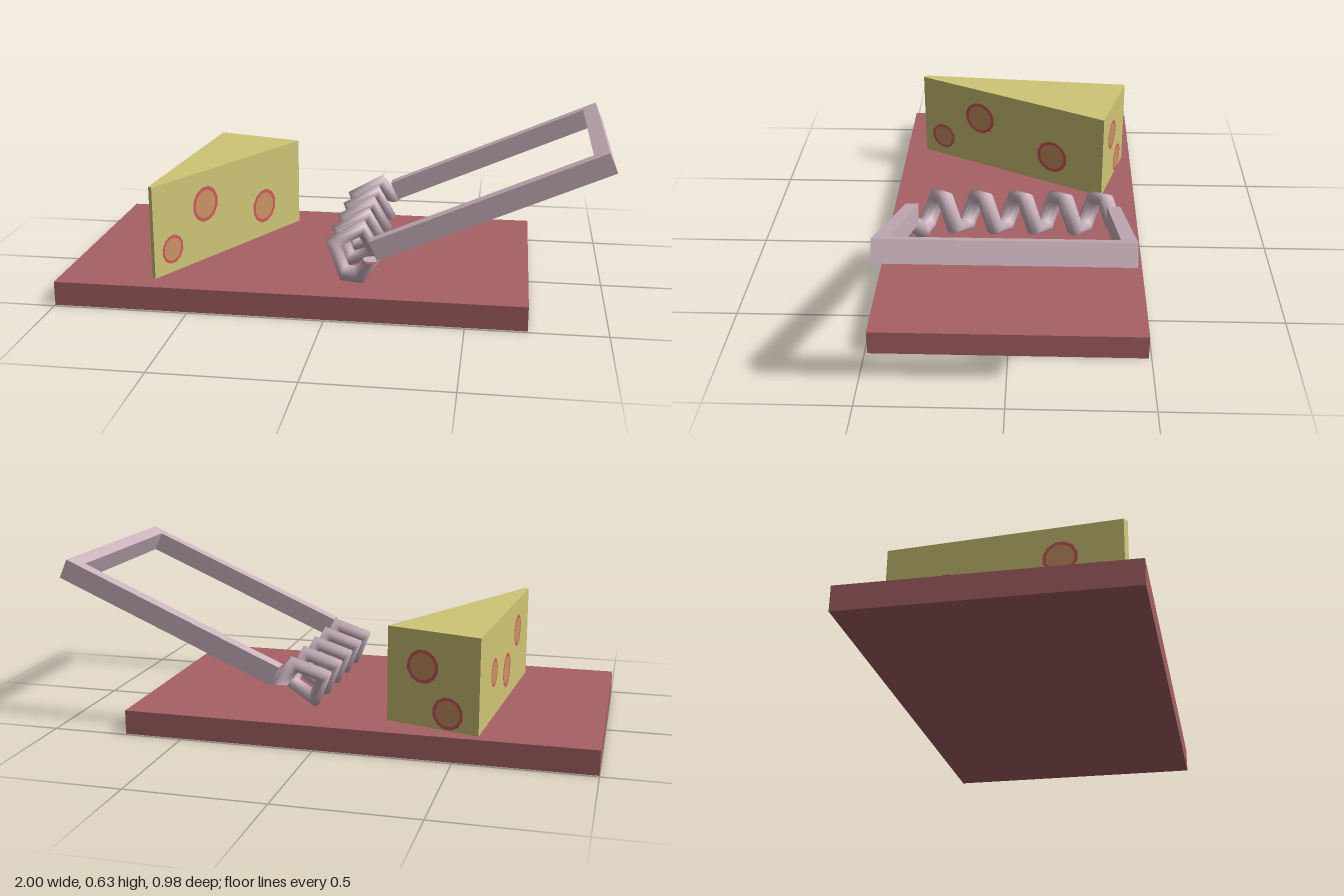
import * as THREE from 'three';

const material = (name, color) => {
  const m = new THREE.MeshStandardMaterial({ color });
  m.name = name;
  return m;
};

// Coil that turns clockwise from front to back, in straight quarter-turn steps
class SpringCurve extends THREE.Curve {
  constructor(angles, radius, halfLength) {
    super();
    Object.assign(this, { angles, radius, halfLength });
  }
  getPoint(t, target = new THREE.Vector3()) {
    const last = this.angles.length - 1;
    const i = Math.min(Math.floor(t * last + 1e-9), last - 1);
    const degrees = THREE.MathUtils.lerp(this.angles[i], this.angles[i + 1], t * last - i);
    const a = THREE.MathUtils.degToRad(degrees);
    const turned = degrees / this.angles[last];
    return target.set(Math.cos(a) * this.radius, Math.sin(a) * this.radius, this.halfLength * (1 - 2 * turned));
  }
  getPointAt(t, target) { return this.getPoint(t, target); }
  getTangentAt(t, target) { return this.getTangent(t, target); }
}

export function createModel() {
  const model = new THREE.Group();
  const wood = material('red wood', 0xa76165);
  const metal = material('pale metal', 0xcbb3be);
  const cheese = material('yellow cheese', 0xcfc577);
  const rim = material('hole rim red', 0xd05a5e);
  const hollow = material('hole orange', 0xcb9364);

  const add = (parent, name, geometry, mat, x = 0, y = 0, z = 0) => {
    const mesh = new THREE.Mesh(geometry, mat);
    mesh.name = name;
    mesh.position.set(x, y, z);
    parent.add(mesh);
    return mesh;
  };

  // Base board
  add(model, 'baseBoard', new THREE.BoxGeometry(1.72, 0.09, 0.98), wood, -0.14, 0.045, 0);

  // Cheese wedge, corners as (x, z)
  const corners = [[-0.64, 0.407], [-0.24, -0.355], [-0.585, -0.455], [-0.655, 0.395]]
    .map(([x, z]) => new THREE.Vector2(x, z));
  const outline = new THREE.Shape(corners.map(c => new THREE.Vector2(c.x, -c.y)));
  const wedge = new THREE.ExtrudeGeometry(outline, { depth: 0.35, bevelEnabled: false });
  wedge.rotateX(-Math.PI / 2);
  add(model, 'cheeseWedge', wedge, cheese, 0, 0.09, 0);

  // Painted cheese holes: side index, fraction along the side, height, radius
  const holes = [
    [0, 0.325, 0.31, 0.07], [0, 0.11, 0.18, 0.056], [0, 0.73, 0.215, 0.07],
    [1, 0.39, 0.31, 0.062], [1, 0.67, 0.153, 0.06],
    [2, 0.26, 0.26, 0.053], [2, 0.52, 0.21, 0.067], [2, 0.74, 0.32, 0.063],
  ];
  for (const [side, u, y, r] of holes) {
    const from = corners[side], to = corners[side + 1];
    const p = from.clone().lerp(to, u);
    const d = to.clone().sub(from).normalize();
    const hole = new THREE.Group();
    hole.name = 'cheeseHole';
    hole.position.set(p.x - d.y * 0.003, y, p.y + d.x * 0.003);
    hole.rotation.y = Math.atan2(-d.y, d.x);
    const start = Math.PI / 12;
    add(hole, 'holeRim', new THREE.RingGeometry(r * 0.8, r, 12, 1, start), rim);
    add(hole, 'holeCentre', new THREE.CircleGeometry(r * 0.8, 12, start), hollow);
    model.add(hole);
  }

  // Spring: five turns, four steps per turn
  const angles = [0, -66, -110];
  for (let a = -200; a >= -1730; a -= 90) angles.push(a);
  angles.push(-1800);
  const spring = new THREE.Group();
  spring.name = 'spring';
  spring.position.set(0.08, 0.2, 0);
  const radius = 0.078, wire = 0.032, half = 0.383;
  const curve = new SpringCurve(angles, radius, half);
  add(spring, 'springCoil', new THREE.TubeGeometry(curve, angles.length - 1, wire, 12), metal);
  for (const s of [1, -1]) {
    const cap = add(spring, 'springEnd', new THREE.CircleGeometry(wire, 12), metal, radius, 0, s * half);
    cap.rotation.x = -s * Math.PI / 2;
  }
  model.add(spring);

  // Raised snap frame
  const frame = new THREE.Group();
  frame.name = 'snapFrame';
  frame.position.set(0.165, 0.237, 0);
  frame.rotation.z = Math.atan2(0.357, 0.8175);
  const length = 0.892, bar = 0.055, height = 0.076;
  for (const s of [1, -1]) {
    add(frame, s > 0 ? 'leftArm' : 'rightArm',
      new THREE.BoxGeometry(length - bar, height, 0.05), metal, (length - bar) / 2, 0, s * 0.382);
  }
  add(frame, 'crossBar', new THREE.BoxGeometry(bar, height, 0.814), metal, length - bar / 2, 0, 0);
  model.add(frame);

  return model;
}
